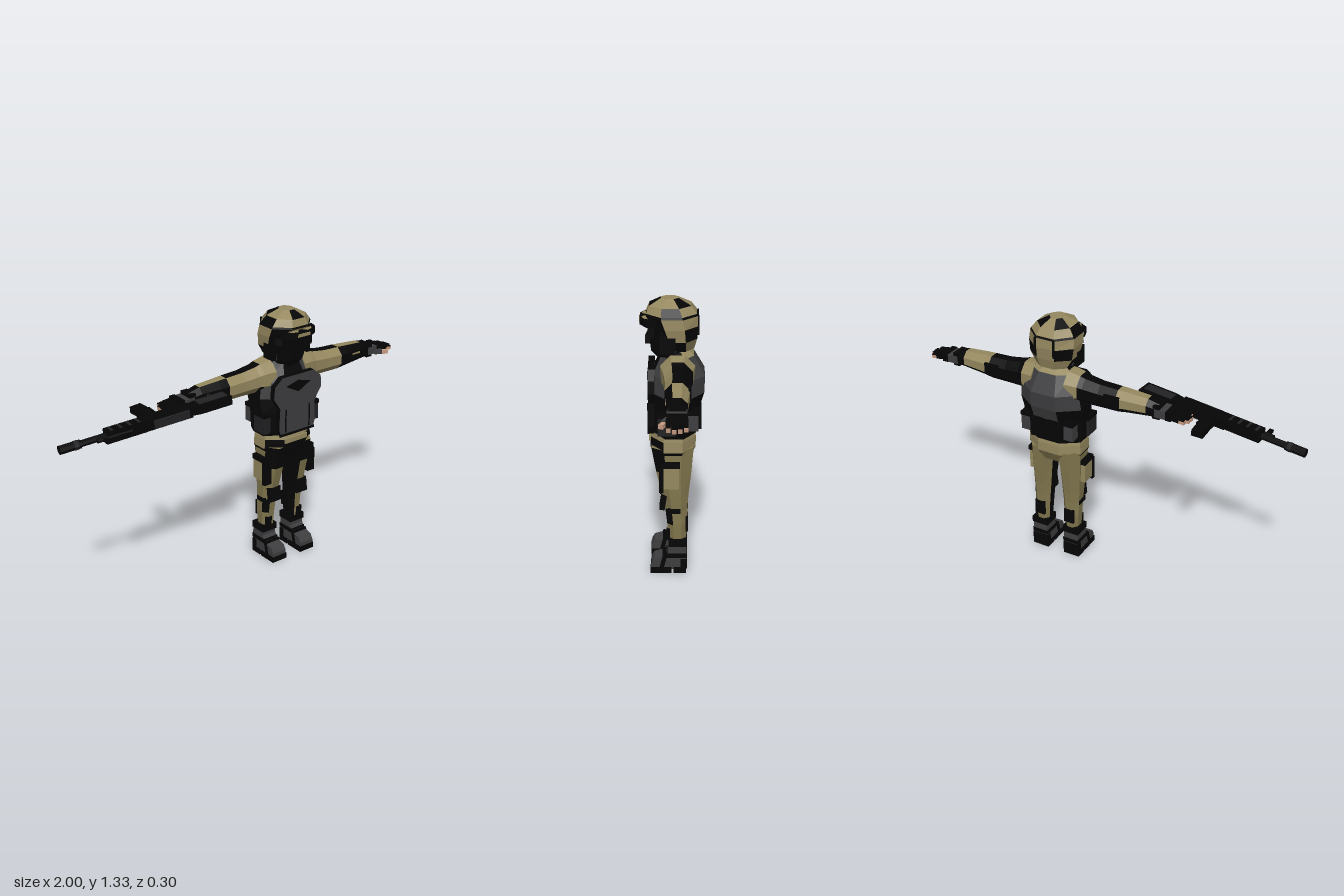
import * as THREE from 'three';

const mat = (name, color) => {
  const m = new THREE.MeshStandardMaterial({ color, flatShading: true });
  m.name = name;
  return m;
};

export function createModel() {
  const black = mat('black', 0x050505), tan = mat('khaki', 0x968960), olive = mat('trouser olive', 0x83784f),
    grey = mat('slate grey', 0x3e3e40), gunmetal = mat('gunmetal', 0x222224), skin = mat('skin', 0xc99c82);
  const palette = [black, tan, grey, olive];

  // Eight-sided loft up y from [y, centreX, centreZ, halfX, halfZ].
  // Each ring has a word of colours (B, T, G, O) for its sides: 0 front, 2 +x, 4 back, 6 -x.
  function loft(name, rows, colours) {
    const n = 8, k = 1 / Math.cos(Math.PI / n), pos = [], geo = new THREE.BufferGeometry();
    const pt = (r, j) => {
      const a = (j - 0.5) * 2 * Math.PI / n, [y, cx, cz, rx, rz] = rows[r];
      return [cx + rx * k * Math.sin(a), y, cz + rz * k * Math.cos(a)];
    };
    const end = rows.length - 1, pick = (r, j) => 'BTGO'.indexOf(colours[r][j]);
    for (let r = 0; r < end; r++) for (let j = 0; j < n; j++) {
      const a = pt(r, j), b = pt(r, j + 1), c = pt(r + 1, j + 1), d = pt(r + 1, j);
      geo.addGroup(pos.length / 3, 6, pick(r, j));
      pos.push(...a, ...b, ...c, ...a, ...c, ...d);
    }
    for (const [r, up] of [[0, false], [end, true]]) {
      const c = [rows[r][1], rows[r][0], rows[r][2]];
      geo.addGroup(pos.length / 3, n * 3, pick(Math.min(r, end - 1), 4));
      for (let j = 0; j < n; j++) pos.push(...c, ...(up ? pt(r, j) : pt(r, j + 1)), ...(up ? pt(r, j + 1) : pt(r, j)));
    }
    geo.setAttribute('position', new THREE.Float32BufferAttribute(pos, 3));
    geo.computeVertexNormals();
    const m = new THREE.Mesh(geo, palette);
    m.name = name;
    return m;
  }
  const add = (parent, name, geo, material, x = 0, y = 0, z = 0) => {
    const m = new THREE.Mesh(geo, material);
    m.name = name;
    m.position.set(x, y, z);
    parent.add(m);
    return m;
  };
  const box = (p, name, material, w, h, d, x, y, z) => add(p, name, new THREE.BoxGeometry(w, h, d), material, x, y, z);
  const plate = (pts, depth) => new THREE.ExtrudeGeometry(
    new THREE.Shape(pts.map(p => new THREE.Vector2(...p))), { depth, bevelEnabled: false });
  const group = name => { const g = new THREE.Group(); g.name = name; return g; };

  // Bakes a copy of a limb reflected in x, with the corner order reversed
  function mirrored(source, name) {
    const out = group(name);
    source.updateMatrixWorld(true);
    source.traverse(o => {
      if (!o.isMesh) return;
      const g = o.geometry.index ? o.geometry.toNonIndexed() : o.geometry.clone();
      g.applyMatrix4(o.matrixWorld).scale(-1, 1, 1);
      const a = g.attributes.position.array;
      for (let i = 0; i < a.length; i += 9) for (let k = 0; k < 3; k++) {
        [a[i + 3 + k], a[i + 6 + k]] = [a[i + 6 + k], a[i + 3 + k]];
      }
      g.computeVertexNormals();
      add(out, o.name, g, o.material);
    });
    return out;
  }

  const model = group('soldier'), body = group('body');

  // Hips and vest
  body.add(loft('hips', [[0.57, 0, 0, 0.12, 0.08], [0.63, 0, -0.005, 0.148, 0.105],
    [0.68, 0, -0.005, 0.145, 0.105], [0.74, 0, -0.005, 0.135, 0.095]], ['BBBOOOBB', 'BBTTTTTB', 'TTTTTTTT']));
  body.add(loft('vest', [[0.7, 0, -0.01, 0.15, 0.1], [0.73, 0, -0.01, 0.162, 0.11], [0.83, 0, -0.012, 0.165, 0.113],
    [0.9, 0, -0.025, 0.17, 0.122], [0.98, 0, -0.03, 0.16, 0.12], [1.07, 0, -0.025, 0.115, 0.075], [1.1, 0, -0.01, 0.06, 0.055]],
  ['BBBBBBBB', 'BBBBBBBB', 'BBBBGBBB', 'BGBGGGBG', 'BGBGGGBG', 'BBBTTTBB']));
  add(body, 'chestPlate', plate([[-0.1, 0.71], [0.1, 0.71], [0.115, 0.75], [0.11, 0.86], [0.15, 0.92], [0.145, 0.98],
    [0.1, 1.02], [-0.1, 1.02], [-0.145, 0.98], [-0.15, 0.92], [-0.11, 0.86], [-0.115, 0.75]], 0.03), [grey, black], 0, 0, 0.08);
  add(body, 'chestDiamond', plate([[-0.075, 0.97], [0, 0.93], [0.075, 0.97], [0, 0.99]], 0.006), black, 0, 0, 0.108);
  box(body, 'beltBuckle', tan, 0.14, 0.025, 0.008, 0, 0.675, 0.103);
  box(body, 'plateHem', black, 0.22, 0.012, 0.008, 0, 0.716, 0.109);
  for (const s of [-1, 1]) {
    box(body, 'sidePouch', gunmetal, 0.04, 0.09, 0.08, s * 0.155, 0.77, 0.025);
    box(body, 'sidePouchFlap', black, 0.044, 0.02, 0.085, s * 0.155, 0.82, 0.025);
    box(body, 'rearPouch', grey, 0.05, 0.085, 0.065, s * 0.12, 0.78, -0.088);
    box(body, 'rearPouchFlap', black, 0.054, 0.02, 0.07, s * 0.12, 0.826, -0.088);
    box(body, 'vestSeam', black, 0.006, 0.12, 0.006, s * 0.075, 0.79, 0.111);
    box(body, 'backPouch', black, 0.07, 0.11, 0.02, s * 0.05, 0.78, -0.125);
  }

  // Head, masked face and helmet with dark seams
  body.add(loft('maskedHead', [[1.05, 0, 0, 0.06, 0.06], [1.09, 0, 0.015, 0.085, 0.08], [1.17, 0, 0.015, 0.1, 0.09],
    [1.24, 0, 0.01, 0.1, 0.09]], ['BBBBBBBB', 'BBGBBBGB', 'BBBBBBBB']));
  body.add(loft('helmet', [[1.1, 0, -0.035, 0.085, 0.065], [1.15, 0, -0.025, 0.115, 0.088], [1.21, 0, -0.012, 0.123, 0.108],
    [1.256, 0, 0.001, 0.12, 0.117], [1.266, 0, 0.002, 0.116, 0.114],
    [1.3, 0, 0.008, 0.09, 0.095], [1.33, 0, 0.01, 0.035, 0.04]],
  ['BBBTTTBB', 'BBTBTBTB', 'TBTTTTTB', 'BBBBBBBB', 'TTBTTTBT', 'BTTBTBTT']));
  add(body, 'helmetBrim', plate([[-0.11, -0.07], [0.11, -0.07], [0.095, -0.115], [0.04, -0.146], [-0.04, -0.146], [-0.095, -0.115]],
    0.032).rotateX(-Math.PI / 2), black, 0, 1.215, 0);
  box(body, 'brimPatch', tan, 0.075, 0.016, 0.006, 0, 1.232, 0.146);
  for (const s of [-1, 1]) {
    add(body, 'brimTopPatch', plate([[s * 0.015, 0.12], [s * 0.07, 0.11], [s * 0.06, 0.128], [s * 0.03, 0.138]], 0.004)
      .rotateX(Math.PI / 2), tan, 0, 1.25, 0);
    box(body, 'earGuard', black, 0.02, 0.09, 0.07, s * 0.108, 1.14, 0.02);
    box(body, 'helmetBackSeam', black, 0.01, 0.09, 0.008, s * 0.05, 1.215, -0.119);
  }
  box(body, 'goggles', black, 0.16, 0.05, 0.03, 0, 1.185, 0.095);

  // Arm, lofted up y and then laid along x: sides 2 and 6 become underside and top
  const arm = group('leftArm');
  const sleeve = loft('sleeve', [[0.09, 0, -0.025, 0.085, 0.08], [0.155, 0, -0.025, 0.073, 0.068], [0.18, 0.002, -0.025, 0.066, 0.063],
    [0.26, 0.008, -0.025, 0.06, 0.056], [0.355, 0.01, -0.024, 0.058, 0.055], [0.4, 0.008, -0.022, 0.054, 0.052],
    [0.51, 0.006, -0.022, 0.045, 0.045], [0.57, 0.012, -0.022, 0.035, 0.037]],
  ['TTBBTTTT', 'TBBBBBBT', 'TTBBBBBT', 'TTBBBBBT', 'BBBBTTTB', 'BBBBTTTB', 'BBBBBBBB']);
  sleeve.rotation.z = -Math.PI / 2;
  sleeve.position.y = 1;
  arm.add(sleeve);
  box(arm, 'elbowPad', black, 0.08, 0.06, 0.012, 0.335, 0.995, -0.078);
  box(arm, 'sleeveStrip', tan, 0.07, 0.008, 0.006, 0.45, 1.0, 0.025);
  box(arm, 'glovePalm', grey, 0.085, 0.04, 0.085, 0.595, 0.985, -0.022);
  box(arm, 'knuckleGuard', black, 0.03, 0.046, 0.088, 0.625, 0.986, -0.022);
  box(arm, 'gloveCuff', black, 0.035, 0.068, 0.078, 0.56, 0.988, -0.022);
  for (let i = 0; i < 4; i++) {
    const z = -0.058 + i * 0.024, end = [0.708, 0.722, 0.725, 0.712][i], finger = group('finger');
    box(finger, 'gloveFinger', black, 0.05, 0.024, 0.02, 0.018, 0, 0);
    box(finger, 'fingertip', skin, end - 0.675, 0.018, 0.018, (end - 0.675) / 2 + 0.038, -0.003, 0);
    box(finger, 'fingerBack', black, end - 0.678, 0.006, 0.02, (end - 0.675) / 2 + 0.036, 0.008, 0);
    finger.position.set(0.637, 0.985, z);
    finger.rotation.z = -0.12;
    arm.add(finger);
  }
  box(arm, 'thumbBase', grey, 0.04, 0.024, 0.024, 0.615, 0.974, 0.024).rotation.y = -0.45;
  box(arm, 'thumb', skin, 0.035, 0.02, 0.02, 0.648, 0.97, 0.038).rotation.y = -0.45;

  // Leg with pouch, knee pad and boot
  const leg = group('leftLeg');
  leg.add(loft('trouser', [[0.15, 0.086, -0.024, 0.034, 0.04], [0.25, 0.086, -0.025, 0.042, 0.048], [0.33, 0.084, -0.02, 0.045, 0.052],
    [0.4, 0.083, -0.015, 0.05, 0.062], [0.52, 0.08, -0.008, 0.058, 0.082], [0.64, 0.074, -0.002, 0.068, 0.098]],
  ['OOOOOOBB', 'OBOOOOBB', 'OOOOOOBB', 'OOOOOOBB', 'BBOOOOBB']));
  box(leg, 'kneePad', black, 0.07, 0.075, 0.025, 0.086, 0.365, 0.042).rotation.x = -0.15;
  box(leg, 'kneeStrap', black, 0.012, 0.025, 0.06, 0.126, 0.325, -0.01);
  box(leg, 'shinPatch', black, 0.035, 0.05, 0.012, 0.1, 0.2, 0.016);
  box(leg, 'calfPatch', black, 0.055, 0.08, 0.012, 0.086, 0.25, -0.07);
  box(leg, 'thighPouch', tan, 0.04, 0.11, 0.075, 0.142, 0.51, 0.005);
  box(leg, 'pouchFlap', black, 0.048, 0.025, 0.085, 0.142, 0.572, 0.005);
  box(leg, 'pouchFront', black, 0.044, 0.125, 0.02, 0.142, 0.5, 0.05);
  add(leg, 'boot', plate([[-0.065, 0.02], [0.1, 0.02], [0.1, 0.05], [0.085, 0.075], [0.03, 0.09], [0.012, 0.12], [0.012, 0.16],
    [-0.066, 0.16], [-0.07, 0.1]], 0.082).rotateY(-Math.PI / 2), grey, 0.133, 0, 0);
  box(leg, 'toeSole', black, 0.09, 0.03, 0.1, 0.092, 0.015, 0.053);
  box(leg, 'heelSole', black, 0.09, 0.03, 0.06, 0.092, 0.015, -0.037);
  box(leg, 'heelCap', black, 0.088, 0.05, 0.03, 0.092, 0.05, -0.056);
  box(leg, 'bootCuff', black, 0.09, 0.035, 0.09, 0.092, 0.158, -0.027);
  box(leg, 'ankleStrap', black, 0.088, 0.022, 0.1, 0.092, 0.092, -0.022);
  box(leg, 'instepStrap', black, 0.088, 0.07, 0.02, 0.092, 0.06, 0.042).rotation.x = -0.25;

  body.add(arm, mirrored(arm, 'rightArm'), leg, mirrored(leg, 'rightLeg'));
  body.position.x = 0.275;
  model.add(body);

  // Rifle held on its side: muzzle toward -x, sights toward +z
  const rifle = group('rifle');
  const tube = (name, r, len, x, z, m = black) =>
    add(rifle, name, new THREE.CylinderGeometry(r, r, len, 8).rotateZ(Math.PI / 2), m, x, 0, z);
  tube('muzzle', 0.021, 0.1, -0.378, 0);
  tube('muzzleRing', 0.023, 0.02, -0.35, 0, gunmetal);
  tube('barrel', 0.016, 0.22, -0.25, 0);
  tube('gasTube', 0.012, 0.17, -0.17, 0.022);
  box(rifle, 'frontSight', black, 0.02, 0.014, 0.06, -0.22, 0, 0.04);
  box(rifle, 'handguard', black, 0.19, 0.056, 0.055, -0.11, 0, 0.003);
  for (let i = 0; i < 4; i++) box(rifle, 'handguardRib', gunmetal, 0.012, 0.06, 0.045, -0.18 + i * 0.045, 0, 0.003);
  box(rifle, 'receiver', black, 0.25, 0.05, 0.07, 0.095, 0, 0);
  box(rifle, 'topCover', gunmetal, 0.18, 0.04, 0.016, 0.11, 0, 0.036);
  box(rifle, 'magazine', black, 0.06, 0.032, 0.09, 0.045, 0, -0.07);
  box(rifle, 'magazineEnd', black, 0.058, 0.032, 0.08, 0.037, 0, -0.138).rotation.y = 0.12;
  box(rifle, 'pistolGrip', black, 0.04, 0.034, 0.09, 0.19, 0, -0.06).rotation.y = -0.35;
  add(rifle, 'stock', plate([[0.2, -0.025], [0.43, -0.055], [0.43, 0.035], [0.27, 0.035], [0.2, 0.02]], 0.044)
    .rotateX(Math.PI / 2), black, 0, 0.022, 0);
  box(rifle, 'stockPanel', gunmetal, 0.15, 0.05, 0.05, 0.34, 0, -0.005);
  rifle.position.set(-0.57, 0.968, 0.058);
  rifle.rotation.set(0, -0.1, 0.07);
  model.add(rifle);
  return model;
}
